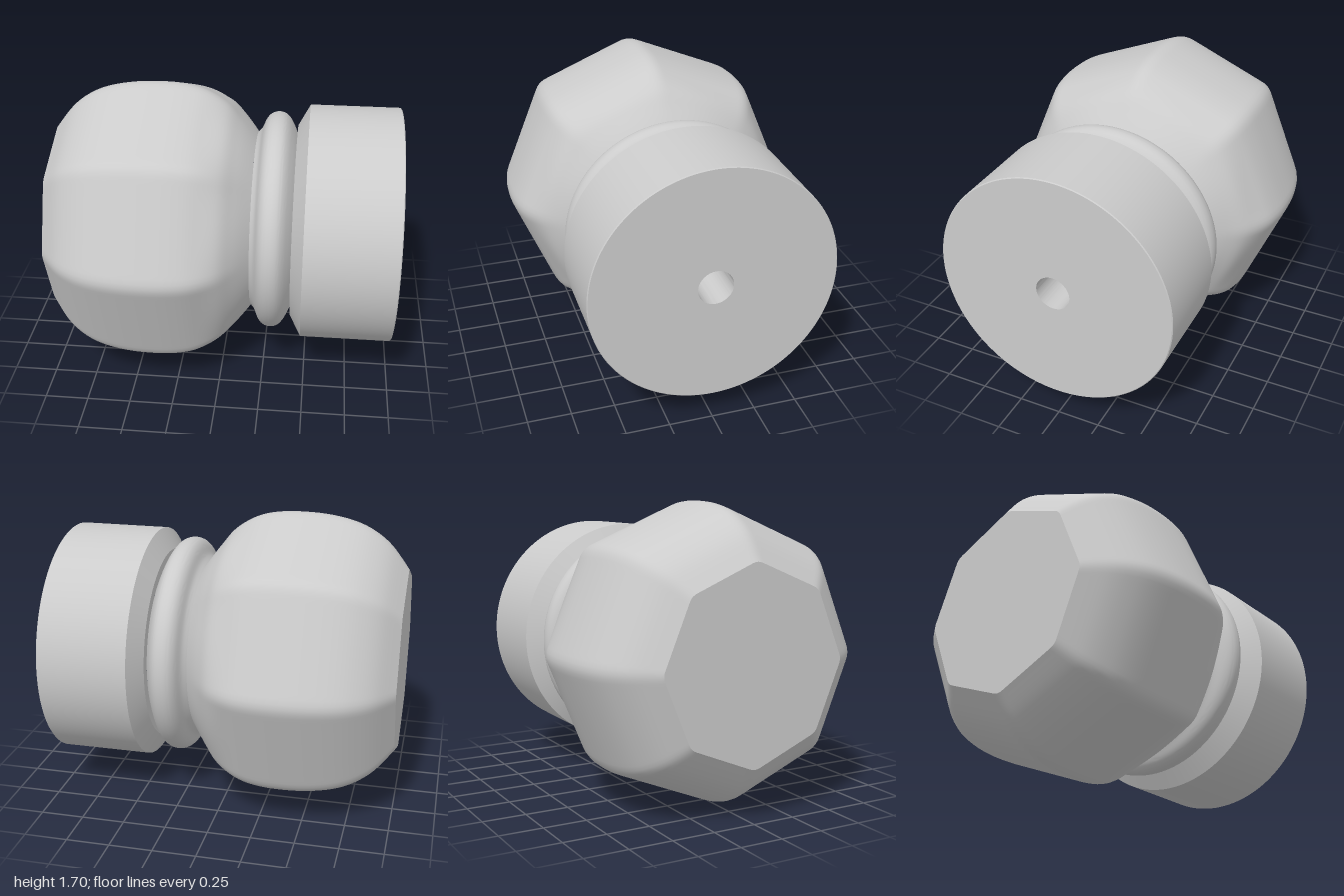
import * as THREE from 'three';
import { toCreasedNormals } from 'three/addons/utils/BufferGeometryUtils.js';

const AXIS_Y = 0.85;
const material = new THREE.MeshStandardMaterial({ color: 0xcccccc });

// profile points are [radius, position along the axis]
const toPoints = (list) => list.map(([r, x]) => new THREE.Vector2(r, x));
const smooth = (list, n) => new THREE.SplineCurve(toPoints(list)).getPoints(n);

// radius of a unit octagon with filleted corners, corners at multiples of 45 degrees
function octagonRadius(angle) {
  const half = Math.PI / 8, fillet = 0.13;
  const apothem = Math.cos(half) + fillet * (1 - Math.cos(half));
  const centre = (apothem - fillet) / Math.cos(half);
  const phi = Math.abs(angle - Math.round(angle / (2 * half)) * 2 * half);
  const tangent = Math.atan2(fillet * Math.sin(half), centre + fillet * Math.cos(half));
  if (phi > tangent) return apothem / Math.cos(half - phi);
  const s = centre * Math.sin(phi);
  return centre * Math.cos(phi) + Math.sqrt(fillet * fillet - s * s);
}

// turned geometry lies along x after rotation
function addTurned(group, name, geometry, crease) {
  const mesh = new THREE.Mesh(toCreasedNormals(geometry, crease), material);
  mesh.name = name;
  mesh.rotation.z = -Math.PI / 2;
  mesh.position.y = AXIS_Y;
  group.add(mesh);
}

export function createModel() {
  const group = new THREE.Group();
  group.name = 'octagonalKnob';

  // octagonal grip that turns round towards the neck
  const gripProfile = smooth([
    [0.55, -1], [0.68, -0.9], [0.76, -0.8], [0.81, -0.69], [0.84, -0.55], [0.85, -0.4],
    [0.843, -0.25], [0.81, -0.12], [0.735, 0], [0.635, 0.085], [0.52, 0.17],
  ], 60);
  const grip = new THREE.LatheGeometry([new THREE.Vector2(0, -1), ...gripProfile], 192);
  const pos = grip.attributes.position;
  for (let i = 0; i < pos.count; i++) {
    const x = pos.getX(i), y = pos.getY(i), z = pos.getZ(i);
    const round = THREE.MathUtils.smoothstep(y, -0.12, 0.17);
    const k = THREE.MathUtils.lerp(octagonRadius(Math.atan2(x, z)), 1, round);
    pos.setXYZ(i, x * k, y, z * k);
  }
  addTurned(group, 'grip', grip, 0.55);

  // rounded bead around the neck
  const bead = smooth([
    [0.52, 0.17], [0.55, 0.195], [0.605, 0.22], [0.635, 0.25], [0.645, 0.29],
    [0.635, 0.33], [0.605, 0.36], [0.56, 0.385], [0.515, 0.405],
  ], 40);
  addTurned(group, 'neckBead', new THREE.LatheGeometry(bead, 96), 0.8);

  // chamfered cylindrical base with a blind screw hole
  const base = toPoints([
    [0.515, 0.405], [0.57, 0.405], [0.692, 0.472], [0.692, 0.995], [0.687, 1],
    [0.1, 1], [0.1, 0.6], [0, 0.6],
  ]);
  addTurned(group, 'base', new THREE.LatheGeometry(base, 128), 0.4);

  return group;
}
